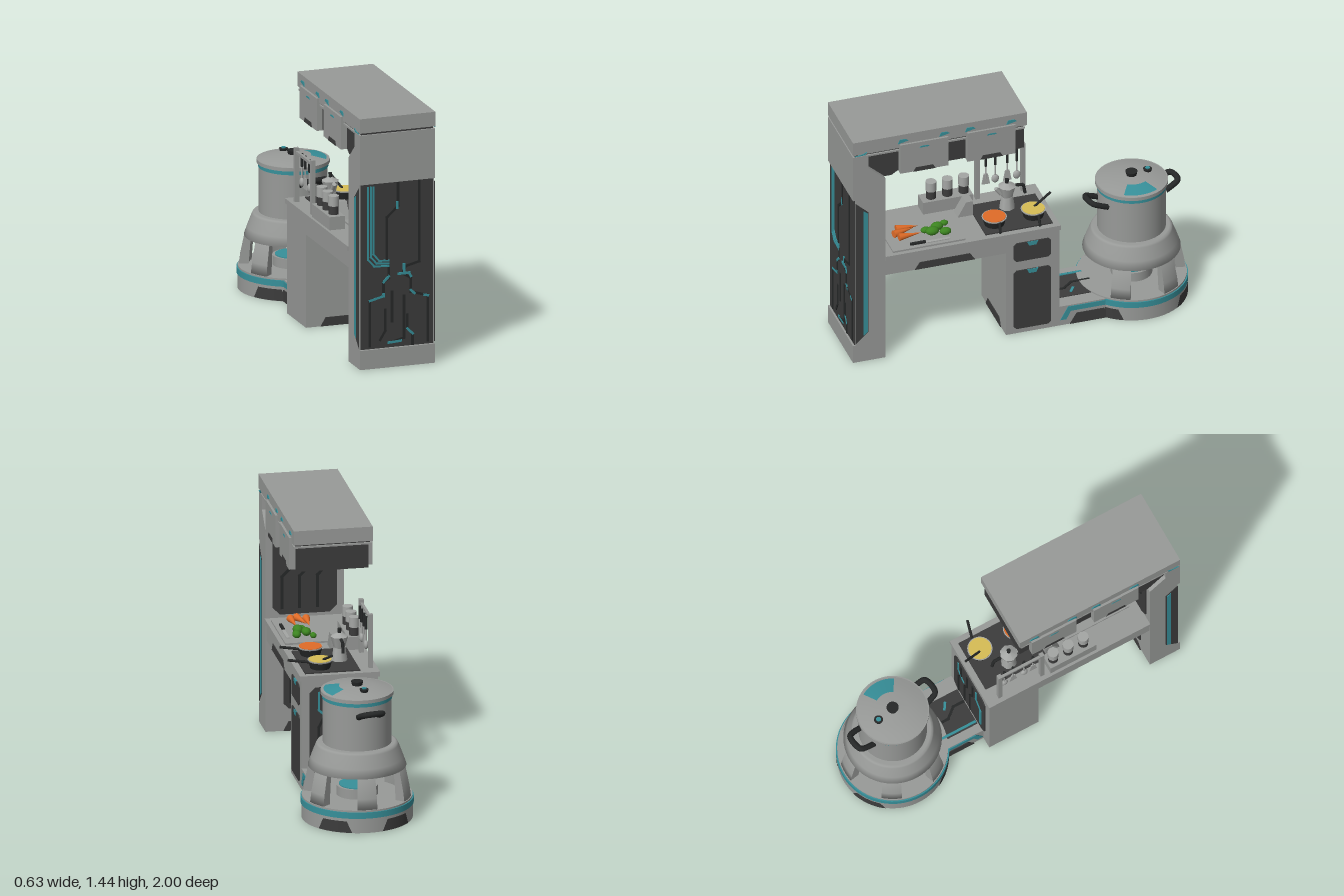
import * as THREE from 'three';

const mat = (name, color, side = THREE.FrontSide) => {
  const m = new THREE.MeshStandardMaterial({ color, side });
  m.name = name;
  return m;
};

export function createModel() {
  const model = new THREE.Group();
  model.name = 'kitchenUnit';
  const grey = mat('grey', 0x989a98, THREE.DoubleSide), dark = mat('charcoal', 0x3c3c3c);
  const black = mat('black', 0x262828), teal = mat('teal', 0x37909a, THREE.DoubleSide);
  const steel = mat('steel', 0xa4a6a4), orange = mat('orange', 0xe06c28);
  const yellow = mat('yellow', 0xd6bd55), green = mat('green', 0x3c8420);

  const add = (name, geo, m, x = 0, y = 0, z = 0, parent = model) => {
    const mesh = new THREE.Mesh(geo, m);
    mesh.name = name;
    mesh.position.set(x, y, z);
    parent.add(mesh);
    return mesh;
  };
  // Box given by its limits
  const box = (name, m, x0, x1, y0, y1, z0, z1) => add(name, new THREE.BoxGeometry(x1 - x0, y1 - y0, z1 - z0),
    m, (x0 + x1) / 2, (y0 + y1) / 2, (z0 + z1) / 2);
  const cyl = (name, m, r0, r1, y0, y1, x, z, n = 24) =>
    add(name, new THREE.CylinderGeometry(r1, r0, y1 - y0, n), m, x, (y0 + y1) / 2, z);
  const shape = (pts) => new THREE.Shape(pts.map((p) => new THREE.Vector2(...p)));
  // Outline in (z, y), extruded from x0 to x1
  const prism = (name, m, pts, x0, x1) => {
    const g = new THREE.ExtrudeGeometry(shape(pts.map(([z, y]) => [-z, y])), { depth: x1 - x0, bevelEnabled: false });
    return add(name, g.rotateY(Math.PI / 2), m, x0);
  };
  // Outline in (x, y), extruded from z0 to z1
  const plate = (name, m, pts, z0, z1) => add(name,
    new THREE.ExtrudeGeometry(shape(pts), { depth: z1 - z0, bevelEnabled: false }), m, 0, 0, z0);
  const chamfered = (a0, a1, b0, b1, c) => [[a0 + c, b0], [a1 - c, b0], [a1, b0 + c], [a1, b1 - c],
    [a1 - c, b1], [a0 + c, b1], [a0, b1 - c], [a0, b0 + c]];
  const trapezoid = (a0, a1, b0, b1, s) => [[a0, b0], [a1, b0], [a1 - s, b1], [a0 + s, b1]];
  // Flat circuit line along a polyline in (x, y)
  const trace = (parent, m, w, pts) => {
    for (let i = 1; i < pts.length; i++) {
      const [ax, ay] = pts[i - 1], [bx, by] = pts[i];
      const s = add('circuitLine', new THREE.BoxGeometry(Math.hypot(bx - ax, by - ay) + w, w, m === teal ? 0.008 : 0.006),
        m, (ax + bx) / 2, (ay + by) / 2, 0, parent);
      s.rotation.z = Math.atan2(by - ay, bx - ax);
    }
  };
  const face = (name, x, y, z, rx = 0, ry = 0) => {
    const g = new THREE.Group();
    g.name = name;
    g.position.set(x, y, z);
    g.rotation.set(rx, ry, 0);
    model.add(g);
    return g;
  };

  // Tower with recessed front, and the overhead arm
  prism('tower', grey, [[1, 0], [1, 0.11], [0.985, 0.11], [0.985, 1.06], [1, 1.06], [1, 1.345], [0, 1.345],
    [0, 1.335], [0.91, 1.335], [0.91, 1.26], [0.81, 1.17], [0.81, 0]], -0.22, 0.22);
  box('roofGroove', dark, -0.21, 0.21, 1.345, 1.357, 0.01, 0.99);
  box('roof', grey, -0.222, 0.222, 1.357, 1.44, -0.01, 1);
  prism('overheadCore', dark, [[0.91, 1.335], [0.91, 1.265], [0.81, 1.175], [0.77, 1.175], [0.73, 1.2], [0, 1.2],
    [0, 1.335]], -0.2, 0.2);
  box('towerFrontPanel', dark, -0.212, 0.212, 0.112, 1.058, 0.985, 0.99);

  // Circuit lines on the tower front
  const front = face('frontCircuits', 0, 0, 0.991);
  for (const o of [-0.015, 0, 0.015])
    trace(front, teal, 0.01, [[-0.155 + o, 1.04], [-0.155 + o, 0.64 + o], [-0.12 + o, 0.6 + o], [-0.05, 0.595 + o]]);
  [[[0.005, 1.05], [0.005, 0.92], [-0.06, 0.86], [-0.06, 0.62]], [[0.13, 1.05], [0.13, 0.59], [0.05, 0.57], [0.03, 0.53]],
    [[-0.05, 0.58], [-0.05, 0.51], [-0.08, 0.49], [-0.08, 0.41], [-0.16, 0.39], [-0.16, 0.13]],
    [[0.03, 0.53], [0.08, 0.5], [0.08, 0.42], [0.18, 0.39], [0.18, 0.13]], [[-0.03, 0.43], [-0.03, 0.26]],
    [[0.04, 0.4], [0.04, 0.16], [-0.04, 0.14]], [[-0.07, 0.33], [-0.07, 0.21], [-0.1, 0.16]],
    [[0.06, 0.29], [0.06, 0.21], [0.09, 0.18], [0.09, 0.12]]].forEach((p) => trace(front, black, 0.014, p));
  [[[-0.05, 0.52], [-0.08, 0.49]], [[-0.08, 0.42], [-0.08, 0.41], [-0.16, 0.39]], [[0.01, 0.53], [0.07, 0.53], [0.08, 0.51]],
    [[0.04, 0.58], [0.04, 0.53]], [[0.08, 0.43], [0.1, 0.41]], [[0.16, 0.395], [0.18, 0.39]], [[0, 0.94], [0, 0.91]],
    [[-0.05, 0.14], [0.02, 0.145]], [[0.06, 0.21], [0.09, 0.18]]].forEach((p) => trace(front, teal, 0.014, p));

  // Matching side details of tower and overhead cabinets
  for (const s of [-1, 1]) {
    const out = (name, m, pts, a, b) => prism(name, m, pts, Math.min(s * a, s * b), Math.max(s * a, s * b));
    out('towerSidePanel', dark, [[0.985, 0.12], [0.985, 1.04], [0.91, 0.97], [0.91, 0.19]], 0.218, 0.223);
    out('towerSideLight', teal, [[0.94, 0.17], [0.94, 0.985], [0.915, 0.965], [0.915, 0.19]], 0.22, 0.226);
    for (const z of [0.06, 0.45]) {
      out('overheadDoor', grey, [[z, 1.195], [z + 0.28, 1.195], [z + 0.28, 1.38], [z, 1.38]], 0.19, 0.235);
      out('doorGrip', dark, trapezoid(z + 0.075, z + 0.205, 1.194, 1.22, 0.015), 0.23, 0.237);
      for (const [a, b] of [[-0.01, 0.05], [0.23, 0.29]])
        out('roofLight', teal, [[z + a, 1.398], [z + a + 0.015, 1.41], [z + b - 0.01, 1.41], [z + b, 1.385]], 0.22, 0.226);
      out('doorLight', teal, trapezoid(z + 0.11, z + 0.17, 1.345, 1.354, 0.01), 0.233, 0.237);
    }
    out('roofFrontLight', teal, [[0.99, 1.35], [0.93, 1.352], [0.92, 1.37], [0.94, 1.36]], 0.22, 0.226);
  }

  // Panels on the back of the tower
  plate('towerBackPanel', dark, chamfered(-0.18, 0.18, 0.68, 1.165, 0.04), 0.803, 0.811);
  plate('towerLowerPanel', dark, chamfered(-0.12, 0.12, 0.13, 0.53, 0.03), 0.803, 0.811);
  plate('towerFootGrip', dark, trapezoid(-0.12, 0.12, 0, 0.055, 0.03), 0.803, 0.811);
  const back = face('towerBackRibs', 0, 0, 0.802);
  for (const x of [-0.1, 0, 0.1]) {
    trace(back, black, 0.016, [[x - 0.03, 1.12], [x - 0.03, 0.96], [x + 0.03, 0.9], [x + 0.03, 0.72]]);
    trace(back, black, 0.012, [[x * 0.8, 0.5], [x * 0.8, 0.17]]);
  }

  // Counter and cabinet
  box('counterTop', grey, -0.225, 0.225, 0.632, 0.66, -0.205, 0.81);
  box('counterApron', grey, -0.215, 0.215, 0.535, 0.632, 0.11, 0.81);
  box('cabinet', grey, -0.215, 0.215, 0, 0.632, -0.2, 0.11);
  prism('apronGrip', dark, trapezoid(0.29, 0.64, 0.536, 0.58, 0.03), 0.212, 0.219);
  plate('cabinetFootGrip', dark, trapezoid(-0.13, 0.13, 0, 0.05, 0.03), 0.107, 0.114);
  for (const [y0, y1] of [[0.47, 0.59], [0.03, 0.41]]) {
    prism('cabinetDoor', dark, chamfered(-0.15, 0.065, y0, y1, 0.015), 0.212, 0.221);
    prism('doorTab', teal, trapezoid(-0.01, -0.075, y1, y1 - 0.025, -0.012), 0.215, 0.224);
  }
  plate('cabinetBackPanel', dark, chamfered(-0.17, 0.17, 0.13, 0.59, 0.03), -0.207, -0.199);
  const rear = face('cabinetCircuits', 0, 0, -0.208);
  trace(rear, teal, 0.014, [[-0.13, 0.2], [-0.13, 0.4], [-0.08, 0.46], [-0.08, 0.56]]);
  trace(rear, teal, 0.012, [[0.12, 0.56], [0.12, 0.46], [0.06, 0.4]]);
  for (const x of [-0.04, 0.02, 0.09])
    trace(rear, black, 0.014, [[x, 0.56], [x, 0.42], [x + 0.03, 0.36], [x + 0.03, 0.15]]);

  // Link between cabinet and stove
  box('linkBase', grey, -0.15, 0.215, 0, 0.122, -0.55, -0.2);
  box('linkTop', dark, -0.1, 0.13, 0.12, 0.126, -0.5, -0.21);
  const link = face('linkCircuits', 0, 0.127, 0, -Math.PI / 2);
  trace(link, teal, 0.014, [[-0.085, 0.22], [-0.085, 0.42]]);
  trace(link, black, 0.014, [[0, 0.44], [0, 0.34], [0.05, 0.28], [0.05, 0.22]]);
  trace(link, teal, 0.014, [[0.06, 0.33], [0.09, 0.31]]);
  for (const [x0, x1] of [[-0.155, -0.148], [0.213, 0.219]]) {
    prism('linkLight', teal, [[-0.205, 0.035], [-0.24, 0.035], [-0.265, 0.085], [-0.47, 0.085], [-0.47, 0.115],
      [-0.25, 0.115]], x0, x1);
    prism('linkGrip', dark, trapezoid(-0.26, -0.5, 0, 0.065, -0.04), x0, x1);
  }

  // Round stove
  const stove = face('stove', 0, 0, -0.69);
  const lathe = (name, m, pts, phi = 0, len = Math.PI * 2) => add(name,
    new THREE.LatheGeometry(pts.map((p) => new THREE.Vector2(...p)), Math.max(6, Math.ceil(len * 9)), phi, len), m, 0, 0, 0, stove);
  const ring = (name, m, r0, r1, y0, y1) => lathe(name, m, [[r0, y0], [r1, y0]]) && lathe(name, m, [[r1, y0], [r1, y1]])
    && lathe(name, m, [[r1, y1], [r0, y1]]);
  ring('stoveBase', grey, 0, 0.308, 0, 0.09);
  ring('stoveLightRing', teal, 0.28, 0.313, 0.085, 0.12);
  ring('stoveDeck', grey, 0, 0.306, 0.12, 0.13);
  ring('burner', grey, 0, 0.115, 0.13, 0.185);
  ring('burnerGlow', teal, 0, 0.1, 0.185, 0.19);
  lathe('stoveCollar', grey, [[0.24, 0.3], [0.272, 0.3], [0.255, 0.35], [0.228, 0.42], [0.222, 0.43], [0.21, 0.436], [0, 0.436]]);
  lathe('stoveCollarInside', grey, [[0.24, 0.3], [0.2, 0.42], [0, 0.42]]);
  const legProfile = [[0.245, 0.13], [0.3, 0.13], [0.292, 0.19], [0.268, 0.305], [0.232, 0.305]];
  for (let i = 1; i <= 5; i++) {
    const a = i * Math.PI / 3, w = 0.19;
    lathe('stoveLeg', grey, [...legProfile, legProfile[0]], a - w, 2 * w);
    for (const e of [a - w, a + w])
      add('stoveLegCheek', new THREE.ShapeGeometry(shape(legProfile)), grey, 0, 0, 0, stove).rotation.y = e - Math.PI / 2;
  }
  // Curved patch following the round body, narrower at its top edge
  const patch = (name, m, c, half, taper, r0, r1, y0, y1) => {
    const g = new THREE.PlaneGeometry(2, 1, 14, 1), p = g.attributes.position;
    for (let i = 0; i < p.count; i++) {
      const v = p.getY(i) + 0.5, a = c + p.getX(i) * half * (1 - taper * v), r = r0 + (r1 - r0) * v;
      p.setXYZ(i, r * Math.sin(a), y0 + (y1 - y0) * v, r * Math.cos(a));
    }
    g.computeVertexNormals();
    add(name, g, m, 0, 0, 0, stove);
  };
  for (const a of [45, 145, 215, 315]) patch('stoveFootGrip', dark, a * Math.PI / 180, 0.33, 0.3, 0.311, 0.311, 0.002, 0.068);

  // Stock pot with lid and handles
  ring('pot', grey, 0, 0.19, 0.436, 0.7);
  ring('potLightRing', teal, 0, 0.194, 0.692, 0.715);
  ring('lidRim', grey, 0, 0.202, 0.715, 0.735);
  lathe('lid', grey, [[0.195, 0.735], [0.15, 0.746], [0.09, 0.756], [0, 0.762]]);
  patch('lidWindow', teal, Math.PI / 2, 0.55, 0, 0.185, 0.1, 0.74, 0.757);
  const knob = (name, m, r, y0, y1, x, z) => add(name, new THREE.CylinderGeometry(r, r * 0.8, y1 - y0, 20), m, x, (y0 + y1) / 2, z, stove);
  knob('lidKnob', black, 0.034, 0.755, 0.783, 0, 0);
  knob('steamVent', black, 0.025, 0.75, 0.768, -0.02, -0.1);
  knob('steamVentCap', teal, 0.014, 0.768, 0.774, -0.02, -0.1);
  for (const a of [0.17, 0.17 + Math.PI]) {
    const path = new THREE.CatmullRomCurve3([[-0.06, 0.635, 0.18], [-0.058, 0.655, 0.225], [-0.045, 0.672, 0.265],
      [0.045, 0.672, 0.265], [0.058, 0.655, 0.225], [0.06, 0.635, 0.18]].map((p) => new THREE.Vector3(...p)));
    add('potHandle', new THREE.TubeGeometry(path, 24, 0.017, 8), black, 0, 0, 0, stove).rotation.y = a;
  }

  // Hob and pans
  box('hob', dark, -0.12, 0.19, 0.66, 0.667, -0.17, 0.22);
  const rod = (name, m, r, a, b) => {
    const A = new THREE.Vector3(...a), B = new THREE.Vector3(...b), d = B.clone().sub(A);
    const s = add(name, new THREE.CylinderGeometry(r, r, d.length(), 10), m, ...A.clone().add(B).multiplyScalar(0.5));
    s.quaternion.setFromUnitVectors(new THREE.Vector3(0, 1, 0), d.normalize());
  };
  for (const [x, z, food] of [[0.09, -0.09, yellow], [0.1, 0.14, orange]]) {
    cyl('pan', black, 0.055, 0.068, 0.667, 0.712, x, z);
    cyl('panRim', steel, 0.068, 0.07, 0.708, 0.715, x, z);
    cyl('panFood', food, 0.064, 0.064, 0.712, 0.718, x, z);
    rod('panHandle', black, 0.008, [x + 0.065, 0.706, z - 0.01], [0.268, 0.714, z + 0.02]);
  }
  rod('panSpoon', black, 0.007, [0.075, 0.715, -0.1], [0.045, 0.77, -0.205]);

  // Moka pot
  cyl('mokaBase', steel, 0.045, 0.034, 0.667, 0.74, -0.04, 0.02, 8);
  cyl('mokaTop', steel, 0.032, 0.05, 0.74, 0.805, -0.04, 0.02, 8);
  cyl('mokaLid', steel, 0.05, 0.012, 0.805, 0.825, -0.04, 0.02, 8);
  cyl('mokaKnob', black, 0.01, 0.012, 0.825, 0.85, -0.04, 0.02, 8);
  rod('mokaSpout', steel, 0.012, [-0.04, 0.76, 0.055], [-0.04, 0.8, 0.085]);
  rod('mokaHandle', black, 0.009, [-0.04, 0.8, -0.03], [-0.04, 0.795, -0.075]);
  rod('mokaGrip', black, 0.009, [-0.04, 0.795, -0.075], [-0.04, 0.74, -0.085]);

  // Utensil rack
  for (const z of [-0.12, 0.145]) box('rackPost', grey, -0.2, -0.175, 0.66, 0.97, z - 0.012, z + 0.012);
  box('rackBar', grey, -0.195, -0.18, 0.937, 0.953, -0.12, 0.145);
  [0.1, 0.045, -0.025, -0.08].forEach((z, i) => {
    rod('utensilHandle', black, 0.008, [-0.17, 0.945, z], [-0.17, 0.87, z]);
    rod('utensilStem', steel, 0.005, [-0.17, 0.87, z], [-0.17, 0.79, z]);
    if (i % 2) add('ladle', new THREE.SphereGeometry(0.022, 12, 8).scale(0.6, 1.2, 1), steel, -0.17, 0.78, z);
    else prism('spatula', steel, trapezoid(z - 0.024, z + 0.024, 0.755, 0.82, 0.012), -0.174, -0.166);
  });

  // Spice shelf and jars
  box('jarShelf', grey, -0.21, -0.12, 0.66, 0.735, 0.19, 0.48);
  for (const z of [0.42, 0.325, 0.23]) {
    cyl('jarFilling', dark, 0.028, 0.028, 0.735, 0.785, -0.165, z);
    cyl('jar', steel, 0.03, 0.03, 0.783, 0.84, -0.165, z);
  }
  prism('knifeBlock', grey, [[0.31, 0.66], [0.22, 0.66], [0.22, 0.75], [0.26, 0.75]], -0.1, -0.03);

  // Chopping board with vegetables and knife
  box('choppingBoard', grey, -0.08, 0.2, 0.66, 0.67, 0.34, 0.76);
  [[0.05, 0], [0.1, 0.02], [0.02, 0.03]].forEach(([x, o]) => {
    const c = add('carrot', new THREE.ConeGeometry(0.022, 0.13, 12), orange, x, 0.692, 0.65 - o);
    c.rotation.set(-Math.PI / 2, 0, 0.25 - o * 10);
  });
  [[0.1, 0.5, 0.028], [0.06, 0.46, 0.026], [0.12, 0.43, 0.024], [0.07, 0.53, 0.02], [0.03, 0.41, 0.018]].forEach(([x, z, r]) =>
    add('greenVegetable', new THREE.SphereGeometry(r, 12, 8).scale(1, 0.9, 1.4), green, x, 0.668 + r * 0.9, z));
  box('knifeBlade', steel, 0.16, 0.178, 0.67, 0.675, 0.42, 0.56);
  box('knifeHandle', black, 0.16, 0.175, 0.67, 0.682, 0.56, 0.65);
  return model;
}
